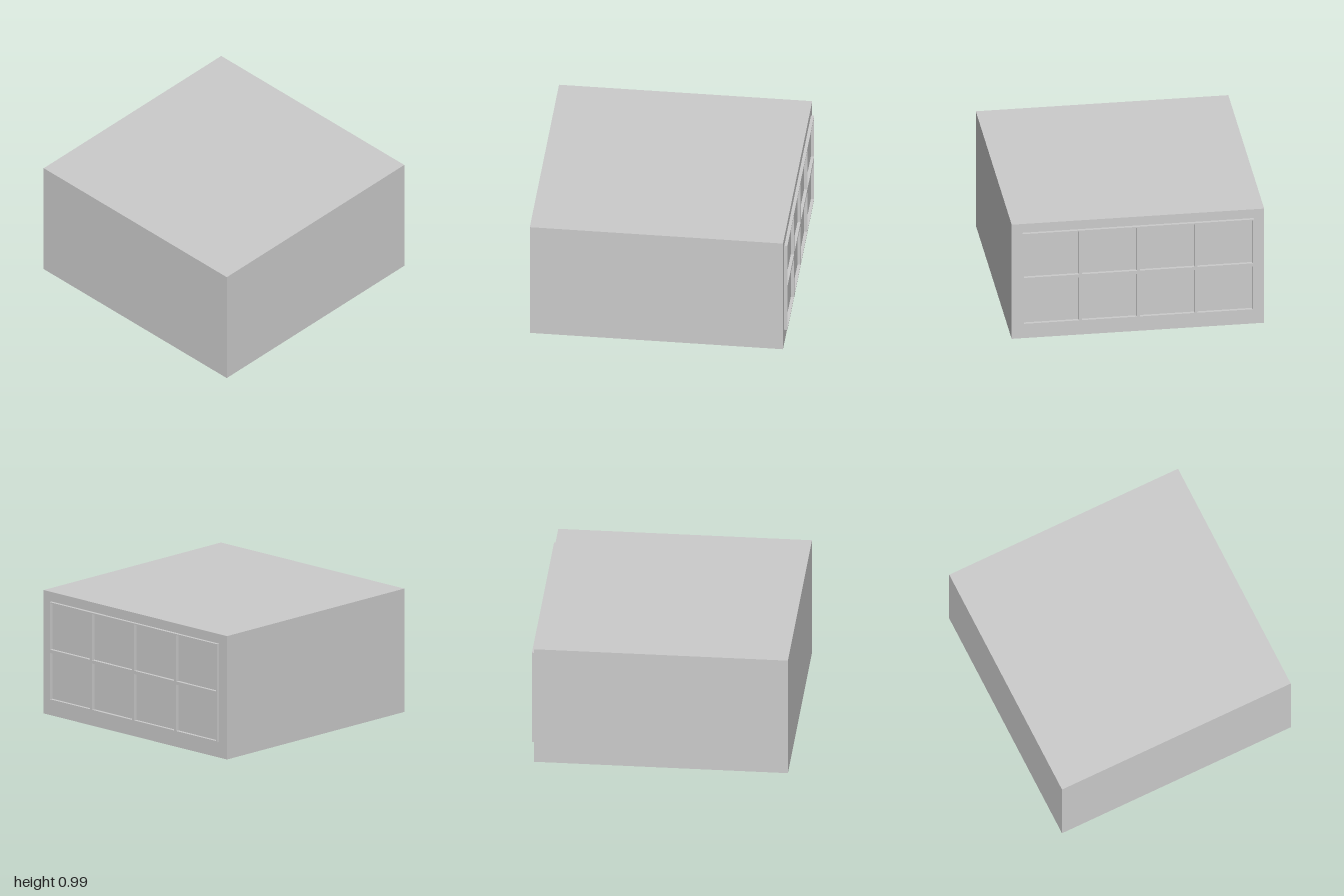
import * as THREE from 'three';

const material = new THREE.MeshStandardMaterial({ color: 0xcccccc });

// Adds a closed rectangle to a shape or hole path
function rect(path, x0, y0, x1, y1) {
  path.moveTo(x0, y0);
  path.lineTo(x1, y0);
  path.lineTo(x1, y1);
  path.lineTo(x0, y1);
  path.closePath();
  return path;
}

export function createModel() {
  const group = new THREE.Group();
  group.name = 'roomBlock';

  // Solid building block
  const body = new THREE.Mesh(new THREE.BoxGeometry(1.975, 0.99, 1.976), material);
  body.name = 'body';
  body.position.set(-0.0125, 0.495, 0);
  group.add(body);

  // Window frame: one plate with a 4 x 2 grid of openings
  const frameShape = rect(new THREE.Shape(), -0.905, 0.127, 0.905, 0.914);
  const paneWidth = 0.431;
  for (const z of [-0.68, -0.2265, 0.2265, 0.68]) {
    for (const [y0, y1] of [[0.136, 0.508], [0.534, 0.905]]) {
      frameShape.holes.push(rect(new THREE.Path(), z - paneWidth / 2, y0, z + paneWidth / 2, y1));
    }
  }
  const frame = new THREE.Mesh(
    new THREE.ExtrudeGeometry(frameShape, { depth: 0.03, bevelEnabled: false }),
    material
  );
  frame.name = 'windowFrame';
  frame.rotation.y = Math.PI / 2;
  frame.position.x = 0.97;
  group.add(frame);

  return group;
}
